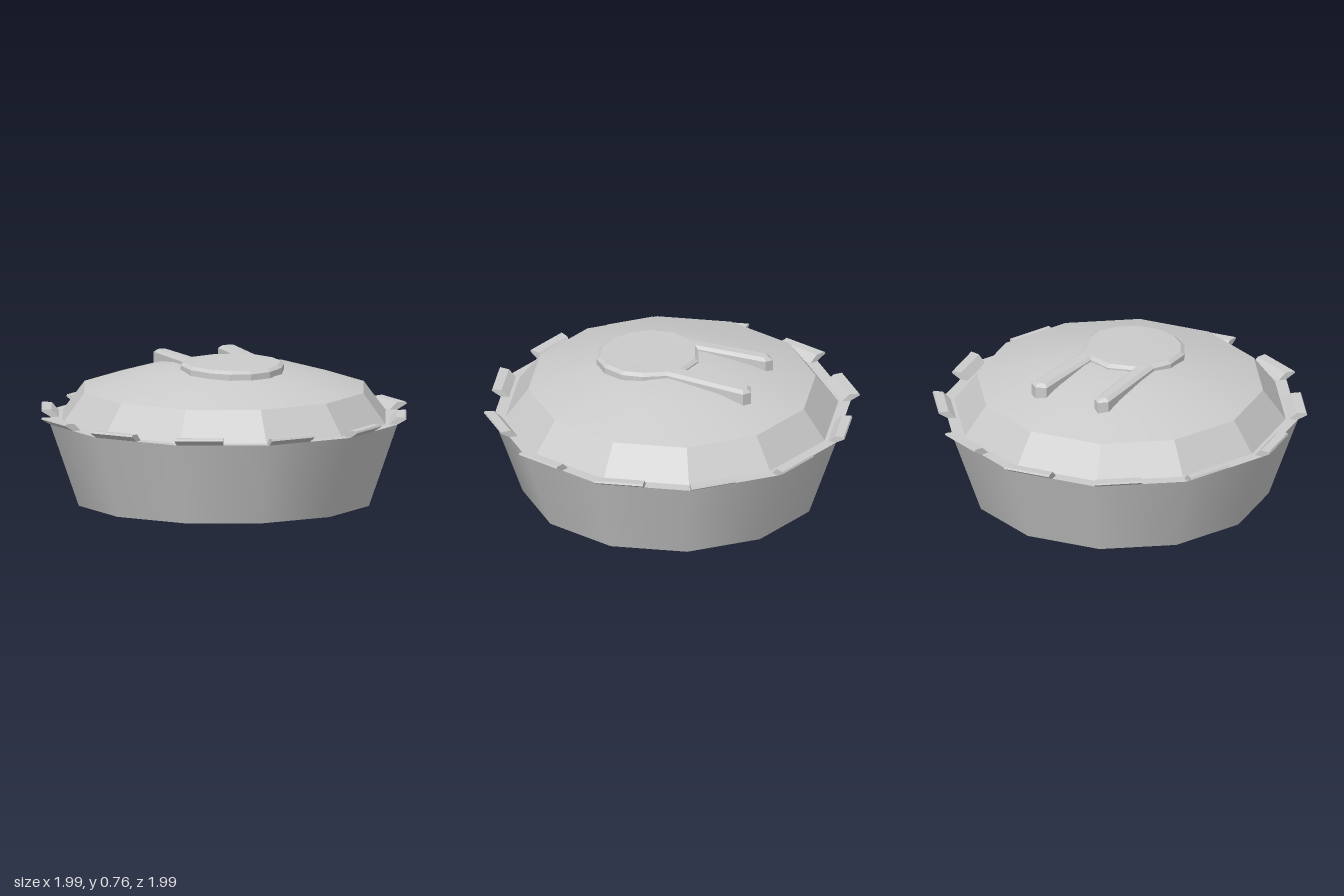
import * as THREE from 'three';

const SIDES = 12;

export function createModel() {
  const model = new THREE.Group();
  const smooth = new THREE.MeshStandardMaterial({ color: 0xcccccc });
  const flat = new THREE.MeshStandardMaterial({ color: 0xcccccc, flatShading: true });

  const add = (name, geometry, material) => {
    const mesh = new THREE.Mesh(geometry, material);
    mesh.name = name;
    model.add(mesh);
  };
  const lathe = (pts) =>
    new THREE.LatheGeometry(pts.map(([r, y]) => new THREE.Vector2(r, y)), SIDES);

  // Tapered dish: base, wall and flat rim
  add('dishBase', lathe([[0, 0], [0.79, 0]]), flat);
  add('dishWall', lathe([[0.79, 0], [0.945, 0.44]]), smooth);
  add('dishRim', lathe([[0.945, 0.44], [0.87, 0.44]]), flat);

  // Filling: faceted edge and smooth dome
  add('crustEdge', lathe([[0.88, 0.44], [0.76, 0.6]]), flat);
  add('crustDome', lathe([[0.76, 0.6], [0.43, 0.695], [0.2, 0.732], [0, 0.738]]), smooth);

  // Leaning rim tabs, each covering the first half of one side
  const tab = tabGeometry();
  for (let i = 0; i < SIDES; i++) {
    add('rimTab', tab.clone().rotateY((i / SIDES) * Math.PI * 2), flat);
  }

  add('topOrnament', ornamentGeometry(), flat);
  return model;
}

function tabGeometry() {
  const profile = [[0.9, 0.44], [0.945, 0.44], [0.995, 0.47], [0.99, 0.48], [0.94, 0.478]];
  const a = Math.PI * 2 / SIDES;
  // Cross-section at fraction t along the straight side
  const section = (t) => profile.map(([r, y]) =>
    [r * t * Math.sin(a), y, r * (1 - t + t * Math.cos(a))]);
  const A = section(0), B = section(0.5), n = profile.length;
  const pos = [];
  const tri = (...corners) => corners.forEach((c) => pos.push(...c));
  for (let i = 0; i < n; i++) {
    const j = (i + 1) % n;
    tri(A[i], B[i], B[j]);
    tri(A[i], B[j], A[j]);
  }
  for (let i = 1; i < n - 1; i++) {
    tri(A[0], A[i], A[i + 1]);
    tri(B[0], B[i + 1], B[i]);
  }
  const g = new THREE.BufferGeometry();
  g.setAttribute('position', new THREE.Float32BufferAttribute(pos, 3));
  g.computeVertexNormals();
  return g;
}

// Round head with two long ears, chamfered and bent gently over the dome
function ornamentGeometry() {
  const outline = [
    [0.2, -0.5], [0.2, -0.06], [0.265, 0.05], [0.285, 0.16], [0.24, 0.28], [0.155, 0.365],
    [0.04, 0.405], [-0.07, 0.39], [-0.17, 0.335], [-0.245, 0.235], [-0.262, 0.1],
    [-0.225, 0], [-0.267, -0.44], [-0.225, -0.48], [-0.185, -0.455], [-0.145, -0.085],
    [-0.025, -0.142], [0.1, -0.122], [0.1, -0.5], [0.155, -0.525],
  ];
  const shape = new THREE.Shape(outline.map(([x, z]) => new THREE.Vector2(x, z)));
  const g = new THREE.ExtrudeGeometry(shape, {
    depth: 0.08, bevelThickness: 0.015, bevelSize: 0.02, bevelOffset: -0.02, bevelSegments: 1,
  });
  g.rotateX(Math.PI / 2).translate(0, 0.743, 0);
  const p = g.attributes.position;
  for (let i = 0; i < p.count; i++) p.setY(i, p.getY(i) - 0.08 * p.getZ(i) ** 2);
  g.computeVertexNormals();
  return g;
}
